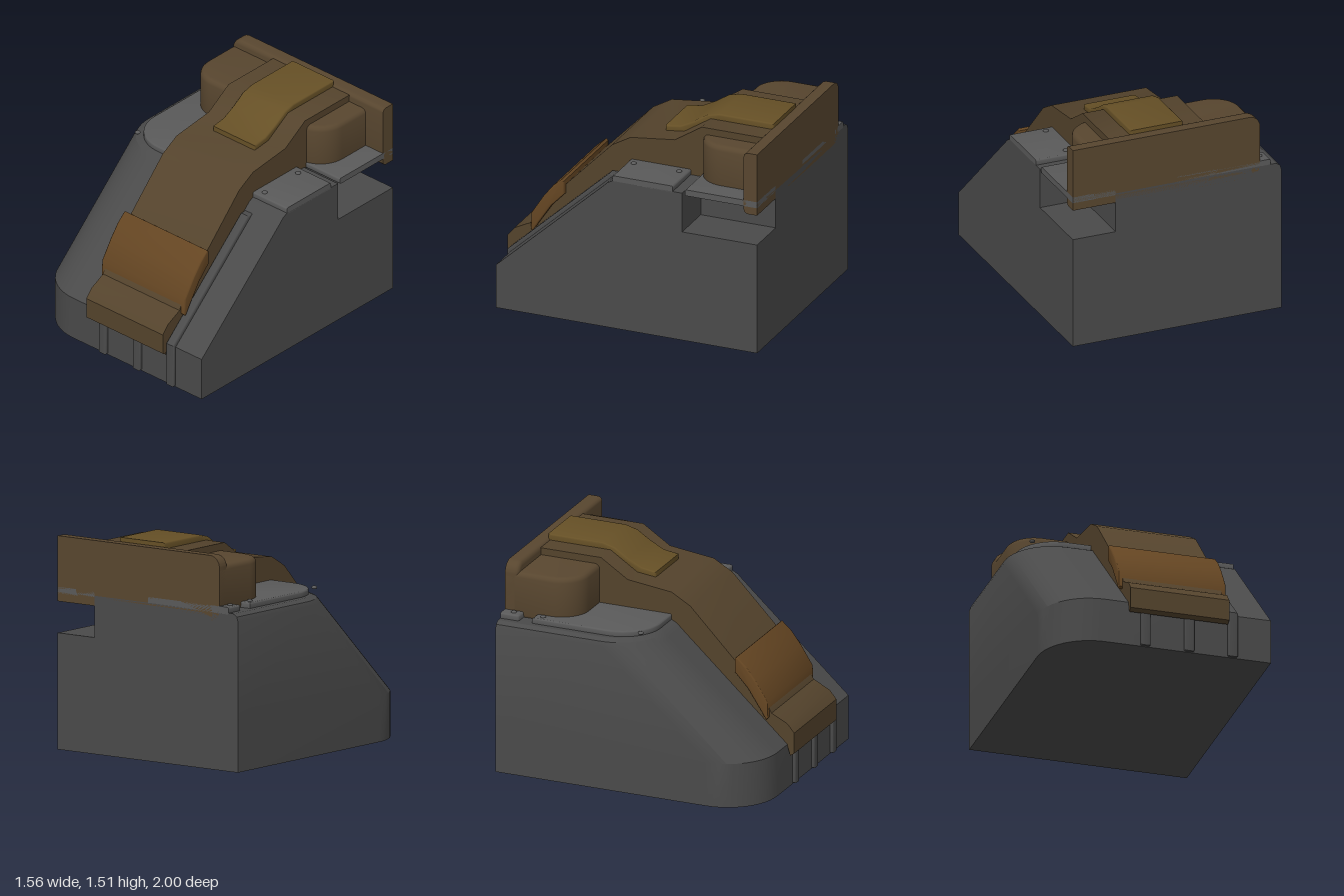
import * as THREE from 'three';
import { toCreasedNormals } from 'three/addons/utils/BufferGeometryUtils.js';

const XMAX = 0.78, ZMIN = -1;

const mat = (name, color) => {
  const m = new THREE.MeshStandardMaterial({ color });
  m.name = name;
  return m;
};

// Flattens everything past the two cut planes (right side and back).
function trim(geo) {
  const p = geo.attributes.position;
  for (let i = 0; i < p.count; i++) {
    p.setX(i, Math.min(p.getX(i), XMAX));
    p.setZ(i, Math.max(p.getZ(i), ZMIN));
  }
  return toCreasedNormals(geo, 0.6);
}

function extrude(shape, depth, bevel) {
  return new THREE.ExtrudeGeometry(shape, {
    depth: depth - 2 * bevel, curveSegments: 8, bevelEnabled: bevel > 0,
    bevelSize: bevel, bevelOffset: -bevel, bevelThickness: bevel, bevelSegments: 3,
  }).translate(0, 0, bevel);
}

// Side profile of [z, y] points, swept from x0 to x1.
function sideSweep(points, x0, x1, bevel = 0) {
  const shape = new THREE.Shape(points.map(([z, y]) => new THREE.Vector2(z, y)));
  return trim(extrude(shape, x1 - x0, bevel).rotateY(-Math.PI / 2).translate(x1, 0, 0));
}

// Rectangle with its own radius at each corner: lower left, lower right, upper right, upper left.
function roundRect(x0, y0, x1, y1, [a, b, c, d]) {
  const s = new THREE.Shape();
  s.moveTo(x0 + a, y0);
  s.lineTo(x1 - b, y0);
  if (b) s.absarc(x1 - b, y0 + b, b, -Math.PI / 2, 0);
  s.lineTo(x1, y1 - c);
  if (c) s.absarc(x1 - c, y1 - c, c, 0, Math.PI / 2);
  s.lineTo(x0 + d, y1);
  if (d) s.absarc(x0 + d, y1 - d, d, Math.PI / 2, Math.PI);
  s.lineTo(x0, y0 + a);
  if (a) s.absarc(x0 + a, y0 + a, a, Math.PI, Math.PI * 1.5);
  return s;
}

// Plan rectangle with rounded front corners, raised from y0 to y1.
function slab(x0, x1, zBack, zFront, y0, y1, rLeft, rRight, bevel) {
  const s = roundRect(x0, -zFront, x1, -zBack, [rLeft, rRight, 0, 0]);
  return trim(extrude(s, y1 - y0, bevel).rotateX(-Math.PI / 2).translate(0, y0, 0));
}

// Body lofted through plan outlines with one rounded front corner.
function bodyLoft(xRight) {
  const levels = [ // y, front z, corner radius, inset
    [0, 0.95, 0.37, 0], [0.32, 0.95, 0.37, 0], [1.05, 0.15, 0.35, 0],
    [1.08, 0.12, 0.34, 0.01], [1.1, 0.08, 0.33, 0.04],
  ];
  const rings = levels.map(([y, f, r, inset]) => {
    const left = -0.78 + inset, ring = [[left, y, ZMIN]];
    for (let i = 0; i <= 12; i++) {
      const t = (i / 12) * Math.PI / 2;
      ring.push([left + r - r * Math.cos(t), y, f - r + r * Math.sin(t)]);
    }
    ring.push([xRight, y, f], [xRight, y, ZMIN]);
    return ring;
  });
  const pos = [], n = rings[0].length;
  const tri = (a, b, c) => pos.push(...a, ...b, ...c);
  for (let k = 0; k + 1 < rings.length; k++) {
    for (let i = 0; i < n; i++) {
      const j = (i + 1) % n, lo = rings[k], hi = rings[k + 1];
      tri(lo[i], lo[j], hi[j]);
      tri(lo[i], hi[j], hi[i]);
    }
  }
  const top = rings[rings.length - 1], bottom = rings[0];
  for (let i = 1; i + 1 < n; i++) {
    tri(top[0], top[i], top[i + 1]);
    tri(bottom[0], bottom[i + 1], bottom[i]);
  }
  const g = new THREE.BufferGeometry();
  g.setAttribute('position', new THREE.Float32BufferAttribute(pos, 3));
  return toCreasedNormals(g, 0.4);
}

export function createModel() {
  const group = new THREE.Group();
  const steel = mat('dark steel', 0x4a4a4a);
  const plate = mat('plate grey', 0x5a5a5a);
  const leather = mat('brown leather', 0x54432c);
  const pouchBrown = mat('pouch brown', 0x58462f);
  const buckleBrown = mat('buckle brown', 0x644522);
  const clipGold = mat('clip ochre', 0x665026);
  const add = (name, geo, material) => {
    const m = new THREE.Mesh(geo, material);
    m.name = name;
    group.add(m);
    return m;
  };

  // Body, with a stepped notch in its back right corner
  add('body', bodyLoft(0.46), steel);
  add('bodyRightSide', sideSweep([
    [-1, 0], [0.95, 0], [0.95, 0.32], [0.15, 1.05], [0.12, 1.08], [0.08, 1.1],
    [-0.44, 1.1], [-0.44, 0.81], [-1, 0.81],
  ], 0.46, XMAX), steel);

  // Raised ribs running up the front
  for (const x of [-0.12, 0.193, 0.505]) {
    add('frontRib', sideSweep([
      [0.9, 0.005], [0.972, 0.005], [0.972, 0.335], [0.21, 1.035], [0.16, 1.035], [0.9, 0.3],
    ], x - 0.035, x + 0.035, 0.012), steel);
  }

  // Top plates
  add('leftPlate', slab(-0.7, 0, -0.76, 0.08, 1.09, 1.14, 0.28, 0, 0.012), plate);
  add('backLeftPlate', slab(-0.7, 0, -1.1, -0.86, 1.09, 1.14, 0.02, 0, 0.012), plate);
  add('frontRightPlate', slab(0.3, 0.85, -0.37, 0.08, 1.09, 1.14, 0, 0, 0.012), plate);
  add('backRightPlate', slab(0.46, 0.85, -1.1, -0.46, 1.085, 1.13, 0, 0, 0.012), plate);

  // Rivets
  const rivet = new THREE.SphereGeometry(0.02, 12, 8).scale(1, 0.6, 1);
  for (const [x, z] of [[-0.65, -0.92], [-0.65, -0.7], [-0.645, 0.03], [0.53, -0.31], [0.53, 0.03]]) {
    const inside = x < -0.6 && z > 0 ? 0.0 : 0.005;
    add('rivet', rivet, plate).position.set(x, 1.135 + inside, z);
  }

  // Pouch and the long panel behind it
  add('pouch', slab(-0.62, 0.62, -1.1, -0.46, 1.08, 1.42, 0.2, 0.2, 0.035), pouchBrown);
  const panel = extrude(roundRect(-0.62, 1.03, 0.9, 1.485, [0.08, 0, 0, 0.08]), 0.2, 0.03);
  add('backPanel', trim(panel.translate(0, 0, -1.1)), pouchBrown);

  // Broad strap draped over the top and down the front
  add('strap', sideSweep([
    [0.97, 0.24], [1, 0.26], [1, 0.41], [0.95, 0.47], [0.83, 0.53], [0.81, 0.57], [0.7, 0.71],
    [0.56, 0.87], [0.22, 1.22], [0.08, 1.3], [-0.25, 1.34], [-0.45, 1.47], [-0.92, 1.47],
    [-0.92, 1.09], [0.1, 1.09], [0.95, 0.31],
  ], -0.24, 0.467), leather);

  // Curved buckle over the strap
  add('buckle', sideSweep([
    [0.8, 0.485], [0.815, 0.5], [0.81, 0.62], [0.72, 0.76], [0.65, 0.85], [0.58, 0.912],
    [0.565, 0.9], [0.565, 0.8], [0.66, 0.7], [0.76, 0.55],
  ], -0.27, 0.5, 0.01), buckleBrown);

  // Clip across the crown of the strap
  add('clip', sideSweep([
    [-0.11, 1.315], [-0.11, 1.36], [-0.22, 1.375], [-0.32, 1.425], [-0.42, 1.49], [-0.51, 1.513],
    [-0.92, 1.513], [-0.92, 1.45], [-0.48, 1.45], [-0.4, 1.42], [-0.27, 1.33], [-0.22, 1.315],
  ], -0.08, 0.31, 0.012), clipGold);

  return group;
}
